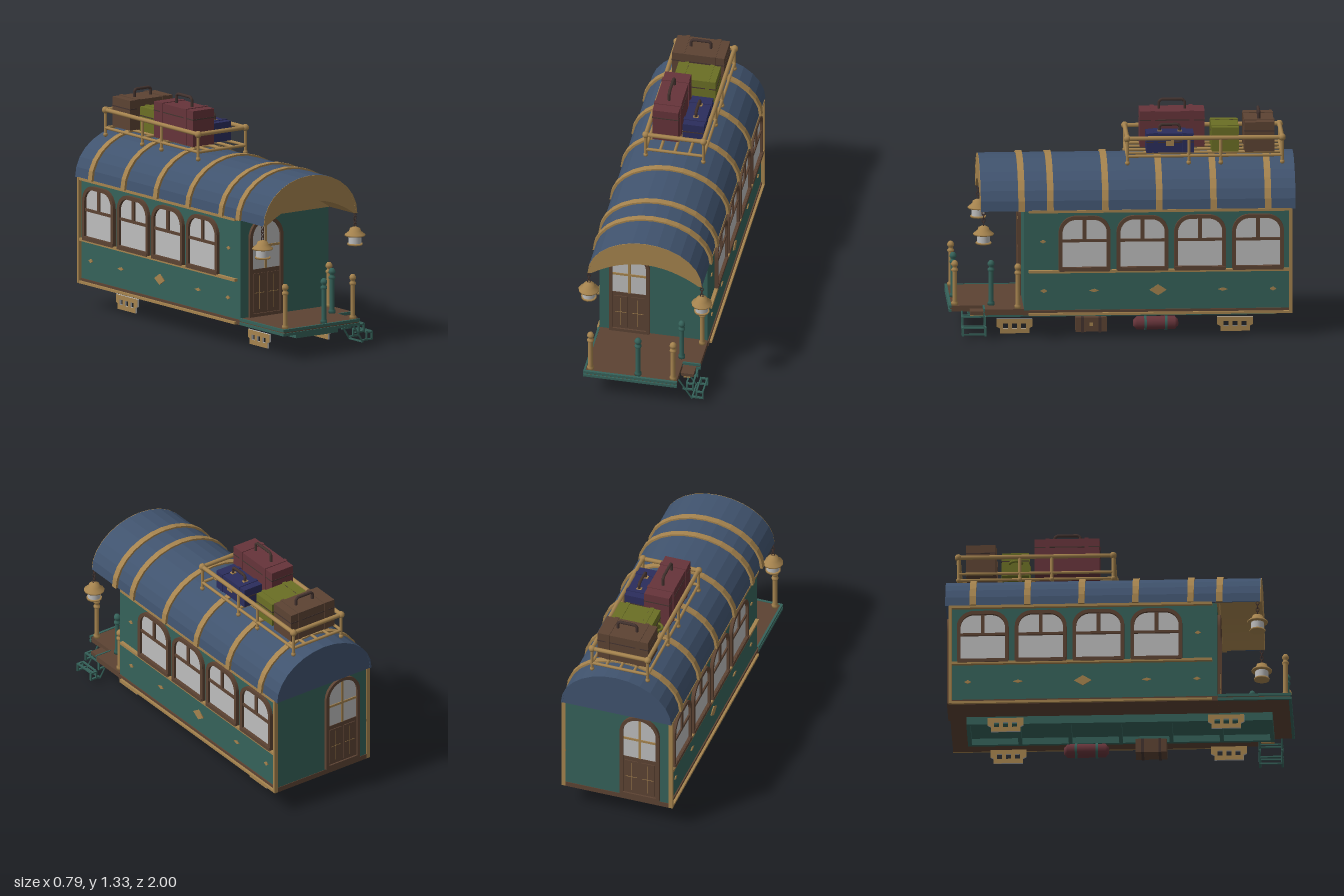
import * as THREE from 'three';

const mat = (name, color) => Object.assign(new THREE.MeshStandardMaterial({ color }), { name });
const M = {
  teal: mat('teal paint', 0x35625a), blue: mat('roof blue', 0x40536e), gold: mat('brass', 0xa5834e),
  brown: mat('wood', 0x5c4333), dark: mat('dark leather', 0x43332f), red: mat('red leather', 0x66343a),
  navy: mat('navy leather', 0x2b2d5c), olive: mat('olive leather', 0x6b6f25), glass: mat('glass', 0xbdbdbd),
};

const add = (parent, name, geo, material, x = 0, y = 0, z = 0) => {
  const m = new THREE.Mesh(geo, material);
  m.name = name;
  m.position.set(x, y, z);
  parent.add(m);
  return m;
};
const group = (parent, name, x = 0, y = 0, z = 0) => {
  const g = new THREE.Group();
  g.name = name;
  g.position.set(x, y, z);
  parent.add(g);
  return g;
};
// Box given by its limits on each axis
const box = (p, name, m, x0, x1, y0, y1, z0, z1) =>
  add(p, name, new THREE.BoxGeometry(x1 - x0, y1 - y0, z1 - z0), m, (x0 + x1) / 2, (y0 + y1) / 2, (z0 + z1) / 2);
// Round bar between two points
const rod = (p, name, m, a, b, r, sides = 8) => {
  const A = new THREE.Vector3(...a), B = new THREE.Vector3(...b), d = B.clone().sub(A);
  const mesh = add(p, name, new THREE.CylinderGeometry(r, r, d.length(), sides), m);
  mesh.position.copy(A).add(B).multiplyScalar(0.5);
  mesh.quaternion.setFromUnitVectors(new THREE.Vector3(0, 1, 0), d.normalize());
  return mesh;
};
const extrude = (shape, depth) => new THREE.ExtrudeGeometry(shape, { depth, bevelEnabled: false, curveSegments: 8 });
const lathe = (pts, sides = 12) => new THREE.LatheGeometry(pts.map(p => new THREE.Vector2(...p)), sides);

// Opening with rounded upper corners, bottom edge at y0
function arch(w, y0, y1, r, Type = THREE.Shape) {
  const s = new Type(), h = w / 2;
  s.moveTo(-h, y0).lineTo(h, y0).lineTo(h, y1 - r);
  s.absarc(h - r, y1 - r, r, 0, Math.PI / 2, false);
  s.absarc(-h + r, y1 - r, r, Math.PI / 2, Math.PI, false);
  s.lineTo(-h, y0);
  return s;
}
function archFrame(w, h, r, t) {
  const s = arch(w, 0, h, r);
  s.holes.push(arch(w - 2 * t, t, h - t, r - t, THREE.Path));
  return s;
}

// Roof section: points on a half ellipse, from right to left
const N = 14, EAVE = 0.77;
const bow = (a, b) => Array.from({ length: N + 1 }, (_, i) => {
  const t = Math.PI * i / N;
  return new THREE.Vector2(a * Math.cos(t), EAVE + b * Math.sin(t));
});
const band = (a, b, t) => new THREE.Shape([...bow(a, b), ...bow(a - t, b - t).reverse()]);

function sideWindow(parent, side, z) {
  const g = group(parent, 'sideWindow', side * 0.318, 0.412, z);
  g.rotation.y = side * Math.PI / 2;
  add(g, 'windowFrame', extrude(archFrame(0.3, 0.325, 0.1, 0.022), 0.02), M.brown);
  add(g, 'windowPane', extrude(arch(0.27, 0.01, 0.315, 0.09), 0.005), M.glass);
  box(g, 'transom', M.brown, -0.14, 0.14, 0.17, 0.186, 0, 0.015);
  box(g, 'mullion', M.brown, -0.011, 0.011, 0.18, 0.31, 0, 0.015);
  box(g, 'sill', M.brown, -0.145, 0.145, -0.002, 0.02, 0, 0.024);
}

function door(parent, z, turn) {
  const g = group(parent, 'door', -0.14, 0.185, z);
  g.rotation.y = turn;
  add(g, 'doorFrame', extrude(archFrame(0.24, 0.582, 0.119, 0.02), 0.018), M.brown);
  add(g, 'doorPane', extrude(arch(0.21, 0.27, 0.57, 0.104), 0.005), M.glass);
  box(g, 'doorLeaf', M.brown, -0.105, 0.105, 0, 0.28, 0, 0.008);
  box(g, 'paneBar', M.gold, -0.007, 0.007, 0.28, 0.563, 0, 0.01);
  box(g, 'paneCrossbar', M.gold, -0.1, 0.1, 0.405, 0.419, 0, 0.01);
  for (const s of [-1, 1]) {
    box(g, 'doorPanel', M.brown, s * 0.05 - 0.04, s * 0.05 + 0.04, 0.03, 0.255, 0, 0.013);
    box(g, 'panelLine', M.gold, s * 0.05 - 0.0015, s * 0.05 + 0.0015, 0.045, 0.24, 0.01, 0.014);
    box(g, 'panelCrossline', M.gold, s * 0.05 - 0.035, s * 0.05 + 0.035, 0.139, 0.142, 0.01, 0.014);
  }
}

function lantern(parent, x) {
  const g = group(parent, 'lantern', x, 0.58, 0.805);
  add(g, 'lanternBase', lathe([[0, 0], [0.045, 0], [0.045, 0.01], [0, 0.014]]), M.gold);
  add(g, 'lanternGlass', new THREE.CylinderGeometry(0.038, 0.038, 0.05, 12), M.glass, 0, 0.035);
  add(g, 'lanternHood', lathe([[0, 0.054], [0.06, 0.054], [0.06, 0.062], [0.035, 0.082], [0.03, 0.098], [0.008, 0.108], [0, 0.11]]), M.gold);
  for (let i = 0; i < 4; i++) {
    const link = add(g, 'chainLink', new THREE.TorusGeometry(0.009, 0.003, 5, 8), M.dark, 0, 0.118 + i * 0.021, 0);
    link.scale.y = 1.4;
    link.rotation.y = i * Math.PI / 2;
  }
}

const POST = [[0, 0], [0.02, 0], [0.02, 0.018], [0.014, 0.024], [0.014, 0.2], [0.02, 0.205], [0.02, 0.215],
  [0.013, 0.222], [0.013, 0.23], [0.02, 0.238], [0.02, 0.25], [0.011, 0.264], [0, 0.266]];

// Suitcase with straps across its width; along tells which axis the handle follows
function suitcase(parent, name, m, x0, x1, y1, z0, z1, along, rise) {
  const y0 = 1.065, cx = (x0 + x1) / 2, cz = (z0 + z1) / 2, e = 0.004;
  const g = group(parent, name);
  box(g, 'caseBody', m, x0, x1, y0, y1, z0, z1);
  box(g, 'caseSeam', M.dark, x0 - 0.002, x1 + 0.002, y1 - 0.055, y1 - 0.049, z0 - 0.002, z1 + 0.002);
  for (const s of [-1, 1]) {
    if (along === 'z') {
      const c = cz + s * (z1 - z0) * 0.3;
      box(g, 'strap', m, x0 - e, x1 + e, y0, y1 + e, c - 0.012, c + 0.012);
    } else {
      const c = cx + s * (x1 - x0) * 0.3;
      box(g, 'strap', m, c - 0.012, c + 0.012, y0, y1 + e, z0 - e, z1 + e);
    }
  }
  if (!rise) return g;
  const h = group(g, 'handle', cx, y1, cz), w = rise > 0.045 ? 0.075 : 0.058;
  if (along === 'z') h.rotation.y = Math.PI / 2;
  const path = new THREE.CurvePath(), P = [[-w, 0], [-w, rise * 0.75], [-w * 0.8, rise], [w * 0.8, rise], [w, rise * 0.75], [w, 0]];
  for (let i = 0; i < 5; i++) path.add(new THREE.LineCurve3(new THREE.Vector3(...P[i], 0), new THREE.Vector3(...P[i + 1], 0)));
  add(h, 'handleGrip', new THREE.TubeGeometry(path, 30, 0.009, 6), M.dark);
  return g;
}

export function createModel() {
  const root = new THREE.Group();
  root.name = 'railwayCarriage';

  // Body and trim
  const body = group(root, 'body');
  box(body, 'walls', M.teal, -0.318, 0.318, 0.165, 0.775, -0.975, 0.57);
  box(body, 'floor', M.brown, -0.325, 0.325, 0.148, 0.178, -0.978, 0.575);
  for (const s of [-1, 1]) {
    for (const [y, h] of [[0.765, 0.008], [0.408, 0.008], [0.156, 0.007]])
      add(body, 'sideTrim', new THREE.BoxGeometry(0.024, h * 2, 1.52), M.gold, s * 0.327, y, -0.217);
    box(body, 'cornerTrim', M.gold, s * 0.328 - 0.012, s * 0.328 + 0.012, 0.15, 0.77, -0.98, -0.962);
    for (const z of [0.22, -0.115, -0.448, -0.783]) sideWindow(body, s, z);
    for (const [z, y, w, h] of [[0.455, 0.292, 0.02, 0.012], [0.165, 0.292, 0.028, 0.01], [-0.205, 0.292, 0.05, 0.032],
      [-0.58, 0.292, 0.028, 0.01], [-0.87, 0.292, 0.02, 0.012], [0.46, 0.585, 0.018, 0.011]]) {
      const d = add(body, 'ornament', new THREE.CylinderGeometry(1, 1, 0.008, 4), M.gold, s * 0.32, y, z);
      d.rotation.z = Math.PI / 2;
      d.scale.set(h, 1, w);
    }
  }
  door(body, 0.57, 0);
  door(body, -0.975, Math.PI);

  // Roof shell, end walls, vaulted porch ceiling and ribs
  const roof = group(root, 'roof');
  add(roof, 'roofShell', extrude(band(0.337, 0.262, 0.01), 1.82), M.blue, 0, 0, -1);
  add(roof, 'rearGable', extrude(new THREE.Shape(bow(0.33, 0.256)), 0.03), M.blue, 0, 0, -0.997);
  add(roof, 'frontGable', extrude(new THREE.Shape(bow(0.33, 0.256)), 0.02), M.gold, 0, 0, 0.56);
  const under = Array.from({ length: 13 }, (_, i) => {
    const u = i / 6 - 1;
    return new THREE.Vector2(u * 0.318, EAVE + 0.11 * (1 - u * u));
  });
  add(roof, 'porchVault', extrude(new THREE.Shape([...bow(0.332, 0.257), ...under]), 0.252), M.gold, 0, 0, 0.57);
  add(roof, 'porchFascia', extrude(band(0.337, 0.262, 0.012), 0.003), M.gold, 0, 0, 0.82);
  for (const z of [0.585, 0.418, 0.1, -0.212, -0.525, -0.84])
    add(roof, 'roofRib', extrude(band(0.352, 0.272, 0.02), 0.037), M.gold, 0, 0, z - 0.0185);
  for (const s of [-1, 1]) lantern(root, s * 0.333);

  // Front platform with posts
  const deck = group(root, 'platform');
  box(deck, 'deckMain', M.brown, -0.32, 0.22, 0.152, 0.186, 0.57, 0.993);
  box(deck, 'deckSide', M.brown, 0.22, 0.322, 0.152, 0.186, 0.57, 0.8);
  for (const y of [0.15, 0.173]) {
    box(deck, 'frontEdge', M.teal, -0.327, 0.225, y, y + 0.016, 0.985, 1);
    box(deck, 'leftEdge', M.teal, -0.327, -0.315, y, y + 0.016, 0.575, 1);
    box(deck, 'stepEdge', M.teal, 0.22, 0.325, y, y + 0.016, 0.795, 0.804);
  }
  for (const [x, z, m] of [[-0.29, 0.965, M.gold], [-0.01, 0.965, M.teal], [0.197, 0.965, M.gold], [0.205, 0.755, M.teal], [0.295, 0.605, M.gold]])
    add(deck, 'railPost', lathe(POST, 10), m, x, 0.185, z);

  // Folding steps
  const steps = group(root, 'steps');
  for (const z of [0.795, 0.925]) {
    rod(steps, 'stringer', M.teal, [0.22, 0.155, z], [0.3, 0.03, z], 0.006, 4);
    for (const [x, y] of [[0.265, 0.09], [0.322, 0.038]]) {
      box(steps, 'stepUpright', M.teal, x, x + 0.009, y, y + 0.05, z - 0.006, z + 0.006);
      box(steps, 'stepUpright', M.teal, x + 0.037, x + 0.046, y, y + 0.05, z - 0.006, z + 0.006);
      box(steps, 'stepSide', M.teal, x - 0.02, x + 0.046, y, y + 0.009, z - 0.006, z + 0.006);
      box(steps, 'stepSide', M.teal, x, x + 0.046, y + 0.041, y + 0.05, z - 0.006, z + 0.006);
    }
  }
  for (const [x, y] of [[0.265, 0.135], [0.302, 0.135], [0.322, 0.083], [0.359, 0.083], [0.295, 0.028]])
    box(steps, 'stepTread', M.teal, x, x + 0.009, y, y + 0.009, 0.795, 0.925);
  box(steps, 'stepBracket', M.gold, 0.24, 0.28, 0.14, 0.15, 0.805, 0.88);
  box(steps, 'stepBoard', M.brown, 0.225, 0.3, 0.15, 0.17, 0.8, 0.88);

  // Underframe
  const frame = group(root, 'underframe');
  box(frame, 'framePlate', M.teal, -0.15, 0.15, 0.14, 0.15, -0.885, 0.885);
  for (const s of [-1, 1]) box(frame, 'longBeam', M.teal, s * 0.14 - 0.01, s * 0.14 + 0.01, 0.1, 0.15, -0.885, 0.885);
  for (let i = 0; i < 7; i++) add(frame, 'crossBeam', new THREE.BoxGeometry(0.28, 0.05, 0.022), M.teal, 0, 0.125, -0.874 + i * 0.2913);
  const plate = new THREE.Shape();
  plate.moveTo(-0.085, 0.02).lineTo(0.085, 0.02).lineTo(0.085, 0.05).lineTo(0.104, 0.06).lineTo(0.104, 0.105)
    .lineTo(-0.104, 0.105).lineTo(-0.104, 0.06).lineTo(-0.085, 0.05);
  for (const c of [-0.052, 0, 0.052]) {
    const h = new THREE.Path();
    h.moveTo(c - 0.015, 0.048).lineTo(c - 0.015, 0.078).lineTo(c + 0.015, 0.078).lineTo(c + 0.015, 0.048);
    plate.holes.push(h);
  }
  for (const s of [-1, 1]) for (const z of [0.62, -0.655]) {
    const m = add(frame, 'axlePlate', extrude(plate, 0.012), [M.gold, M.glass], s * 0.218 - 0.006, 0, z);
    m.rotation.y = Math.PI / 2;
  }
  box(frame, 'toolBox', M.brown, 0.078, 0.185, 0.015, 0.1, 0.085, 0.265);
  for (const z of [0.125, 0.225]) box(frame, 'toolBoxStrap', M.dark, 0.074, 0.189, 0.012, 0.1, z - 0.008, z + 0.008);
  box(frame, 'toolBoxLatch', M.gold, 0.185, 0.191, 0.05, 0.07, 0.165, 0.185);
  const tank = add(frame, 'airTank', lathe([[0, -0.13], [0.02, -0.13], [0.025, -0.122], [0.04, -0.11], [0.04, 0.11], [0.025, 0.122], [0.02, 0.13], [0, 0.13]]), M.red, 0.13, 0.052, -0.2);
  tank.rotation.x = Math.PI / 2;
  for (const z of [-0.26, -0.14]) {
    rod(frame, 'tankBand', M.teal, [0.13, 0.052, z - 0.007], [0.13, 0.052, z + 0.007], 0.044, 12);
    box(frame, 'tankHanger', M.teal, 0.12, 0.14, 0.085, 0.125, z - 0.007, z + 0.007);
  }

  // Luggage rack
  const rack = group(root, 'luggageRack'), Z0 = -0.93, Z1 = -0.035, X = 0.17;
  for (const s of [-1, 1]) {
    rod(rack, 'topRail', M.gold, [s * X, 1.155, Z0], [s * X, 1.155, Z1], 0.013);
    for (const z of [Z0, -0.575, -0.39, Z1]) {
      rod(rack, 'rackPost', M.gold, [s * X, 1.0, z], [s * X, 1.155, z], 0.009);
      add(rack, 'rackFoot', new THREE.SphereGeometry(0.014, 8, 6), M.gold, s * X, 1.01, z);
    }
    for (const z of [Z0, Z1]) add(rack, 'railBall', new THREE.SphereGeometry(0.021, 10, 8), M.gold, s * X, 1.155, z);
  }
  for (const z of [Z0, Z1]) rod(rack, 'endRail', M.gold, [-X, 1.155, z], [X, 1.155, z], 0.013);
  for (const z of [Z0, -0.575, -0.39, Z1]) rod(rack, 'rackCrossbar', M.gold, [-X, 1.05, z], [X, 1.05, z], 0.009);
  for (const x of [-X, -0.085, 0, 0.085, X]) rod(rack, 'rackSlat', M.gold, [x, 1.05, Z0], [x, 1.05, Z1], 0.009);

  // Luggage
  const bags = group(root, 'luggage');
  suitcase(bags, 'redCase', M.red, -0.148, 0.005, 1.275, -0.49, -0.115, 'z', 0.055);
  const navy = suitcase(bags, 'navyCase', M.navy, 0.025, 0.15, 1.178, -0.42, -0.145, 'z', 0.04);
  box(navy, 'clasp', M.gold, 0.15, 0.156, 1.105, 1.135, -0.305, -0.26);
  for (const s of [-1, 1]) box(navy, 'handleMount', M.gold, 0.072, 0.102, 1.176, 1.183, -0.2825 + s * 0.058 - 0.012, -0.2825 + s * 0.058 + 0.012);
  const olive = suitcase(bags, 'oliveCase', M.olive, -0.108, 0.14, 1.208, -0.68, -0.525, 'x', 0);
  const grip = add(olive, 'sideHandle', new THREE.TorusGeometry(0.035, 0.008, 6, 10, Math.PI), M.olive, -0.108, 1.14, -0.6);
  grip.rotation.set(Math.PI / 2, 0, Math.PI / 2);
  for (const z of [-0.645, -0.565]) box(olive, 'label', M.dark, -0.07, -0.045, 1.207, 1.211, z - 0.012, z + 0.012);
  suitcase(bags, 'brownCase', M.brown, -0.155, 0.153, 1.24, -0.885, -0.715, 'x', 0.045);
  return root;
}
